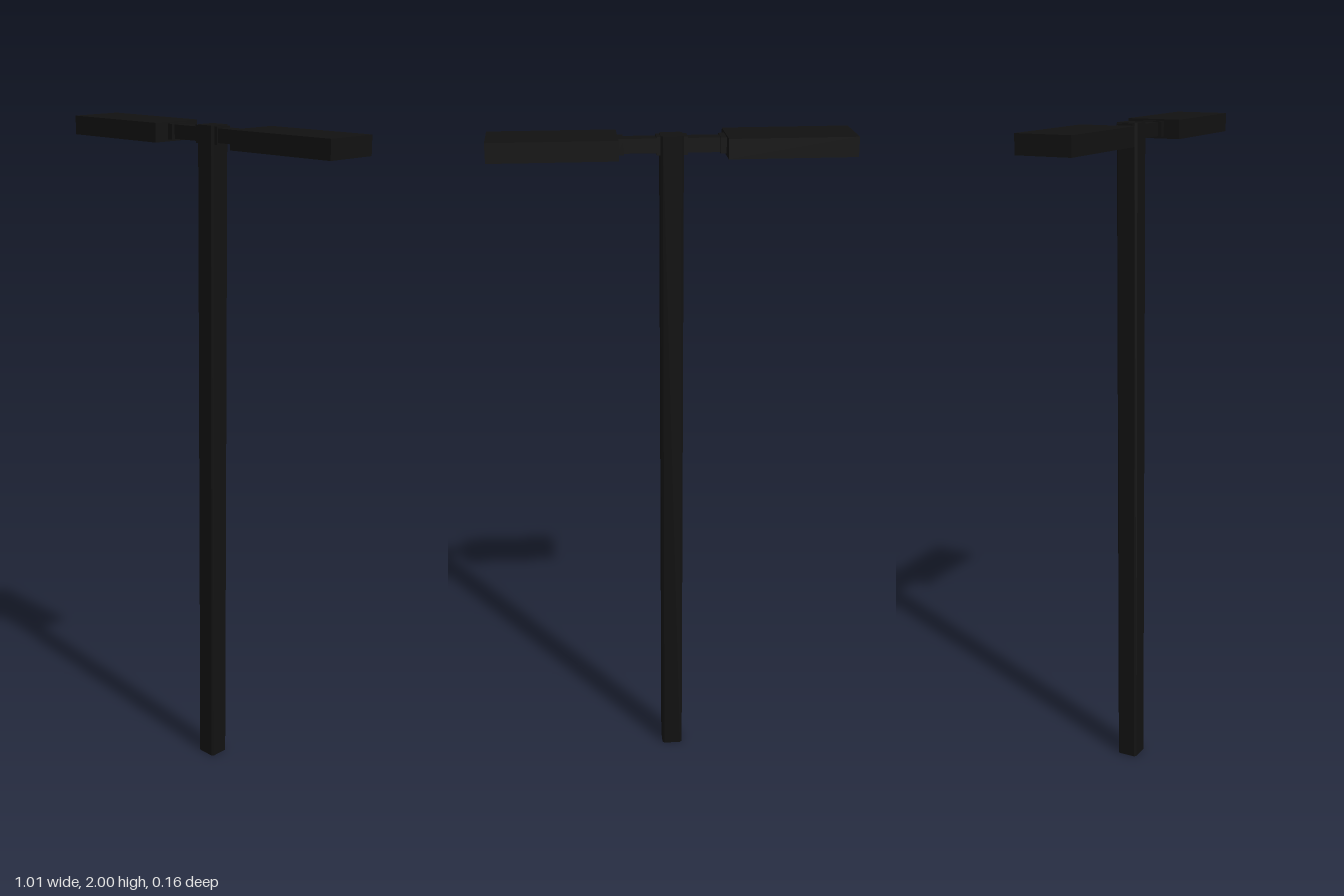
import * as THREE from 'three';

const dark = new THREE.MeshStandardMaterial({ color: 0x111111, flatShading: true });
const lens = new THREE.MeshStandardMaterial({ color: 0xb0b0b0, flatShading: true });

function box(parent, name, size, pos, material = dark) {
  const mesh = new THREE.Mesh(new THREE.BoxGeometry(...size), material);
  mesh.name = name;
  mesh.position.set(...pos);
  parent.add(mesh);
  return mesh;
}

// Square post with slightly cut corners
function makePole(height, half, cut) {
  const a = half, b = half - cut;
  const shape = new THREE.Shape([
    [a, -b], [a, b], [b, a], [-b, a], [-a, b], [-a, -b], [-b, -a], [b, -a],
  ].map(([x, y]) => new THREE.Vector2(x, y)));
  const geometry = new THREE.ExtrudeGeometry(shape, { depth: height, bevelEnabled: false });
  geometry.rotateX(-Math.PI / 2);
  const pole = new THREE.Mesh(geometry, dark);
  pole.name = 'pole';
  return pole;
}

// Arm, flange, lamp head and lens strips for one side
function makeLamp(side) {
  const lamp = new THREE.Group();
  lamp.name = side > 0 ? 'leftLamp' : 'rightLamp';
  box(lamp, 'armCollar', [0.025, 0.05, 0.05], [side * 0.0305, 1.973, 0]);
  box(lamp, 'arm', [0.12, 0.04, 0.044], [side * 0.09, 1.973, 0]);
  box(lamp, 'flange', [0.02, 0.044, 0.066], [side * 0.143, 1.973, 0]);
  box(lamp, 'lampHead', [0.358, 0.055, 0.164], [side * 0.328, 1.9725, 0]);
  for (const x of [0.315, 0.391, 0.467]) {
    box(lamp, 'lensStrip', [0.052, 0.004, 0.136], [side * x, 1.9461, 0], lens);
  }
  return lamp;
}

export function createModel() {
  const model = new THREE.Group();
  model.name = 'streetLight';
  model.add(makePole(2, 0.032, 0.006));
  for (const side of [1, -1]) model.add(makeLamp(side));
  return model;
}
